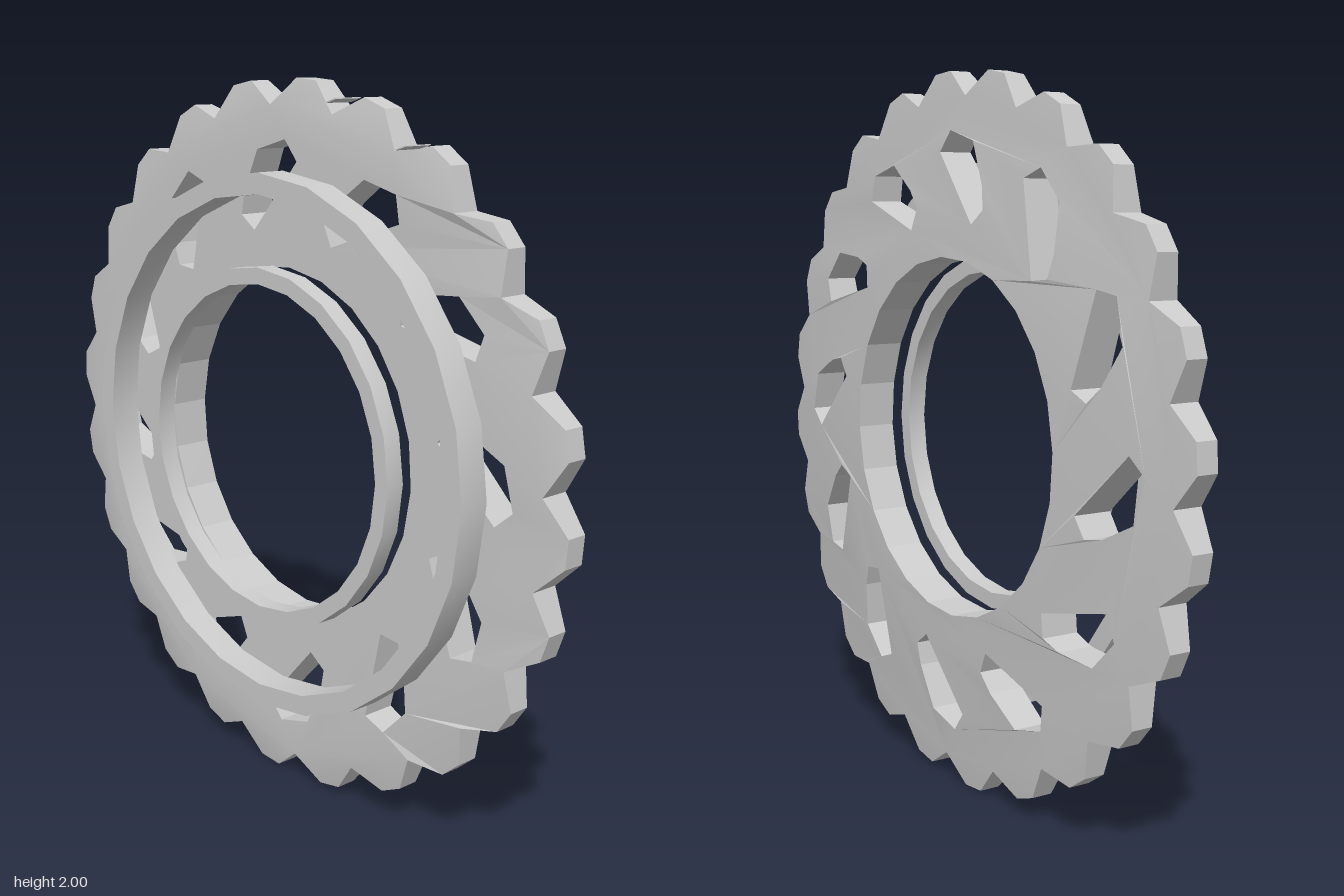
import * as THREE from 'three';
import { toCreasedNormals } from 'three/addons/utils/BufferGeometryUtils.js';

const TEETH = 24, HOLES = 12;
const material = new THREE.MeshStandardMaterial({ color: 0xcccccc, side: THREE.DoubleSide });

const polar = (r, deg) => {
  const a = THREE.MathUtils.degToRad(deg);
  return new THREE.Vector2(r * Math.cos(a), r * Math.sin(a));
};

function mesh(name, geometry) {
  const m = new THREE.Mesh(geometry, material);
  m.name = name;
  return m;
}

// Height of the gently domed outer face at a given radius
function faceHeight(r) {
  const profile = [[0.5, 0.1], [0.65, 0.095], [0.9, 0.075], [1.01, 0.06]];
  for (let i = 1; i < profile.length; i++) {
    const [r0, h0] = profile[i - 1], [r1, h1] = profile[i];
    if (r <= r1) return h0 + (h1 - h0) * Math.max(0, (r - r0) / (r1 - r0));
  }
  return 0.06;
}

// Toothed disc with slanted cut-outs and a large bore
function discGeometry() {
  const rim = [];
  for (let i = 0; i < TEETH; i++) {
    const a = 4.3 + i * 360 / TEETH;
    rim.push(polar(0.93, a - 7.5), polar(1, a - 2.2), polar(1, a + 2.2));
  }
  const shape = new THREE.Shape(rim);

  const bore = [];
  for (let i = 0; i < 24; i++) bore.push(polar(0.5, 3 + i * 15));
  shape.holes.push(new THREE.Path(bore));

  const cutOut = [[0.6, 48.5], [0.65, 44.5], [0.71, 46.8], [0.815, 52.5], [0.84, 60.5], [0.785, 64]];
  for (let i = 0; i < HOLES; i++) {
    shape.holes.push(new THREE.Path(cutOut.map(([r, a]) => polar(r, a + i * 360 / HOLES))));
  }

  const geometry = new THREE.ExtrudeGeometry(shape, { depth: 1, bevelEnabled: false });
  const p = geometry.attributes.position;
  for (let i = 0; i < p.count; i++) {
    const r = Math.hypot(p.getX(i), p.getY(i));
    const back = r > 0.96 ? 0 : -0.015;
    p.setZ(i, p.getZ(i) > 0.5 ? faceHeight(r) : back);
  }
  geometry.rotateY(Math.PI / 2);
  return toCreasedNormals(geometry, 0.2);
}

// Rectangular-section ring around the x axis
function ringGeometry(inner, outer, x0, x1) {
  const section = [[outer, x0], [outer, x1], [inner, x1], [inner, x0], [outer, x0]];
  const geometry = new THREE.LatheGeometry(section.map(([r, x]) => new THREE.Vector2(r, x)), 24);
  geometry.rotateZ(-Math.PI / 2);
  return toCreasedNormals(geometry, 0.5);
}

export function createModel() {
  const group = new THREE.Group();
  group.name = 'toothedWheel';

  const wheel = new THREE.Group();
  wheel.name = 'wheel';
  wheel.position.y = 1;
  group.add(wheel);

  wheel.add(mesh('toothedDisc', discGeometry()));
  wheel.add(mesh('outerBackRing', ringGeometry(0.7, 0.757, -0.105, -0.015)));
  wheel.add(mesh('innerBackRing', ringGeometry(0.46, 0.505, -0.105, -0.05)));

  // Two thin tabs behind the rim
  for (const [x, y, z] of [[-0.058, 0.95, 0.28], [-0.043, 0.845, 0.51]]) {
    const tab = mesh('rimTab', new THREE.BoxGeometry(0.085, 0.003, 0.036));
    tab.position.set(x, y, z);
    tab.rotation.x = -0.3;
    wheel.add(tab);
  }
  return group;
}
